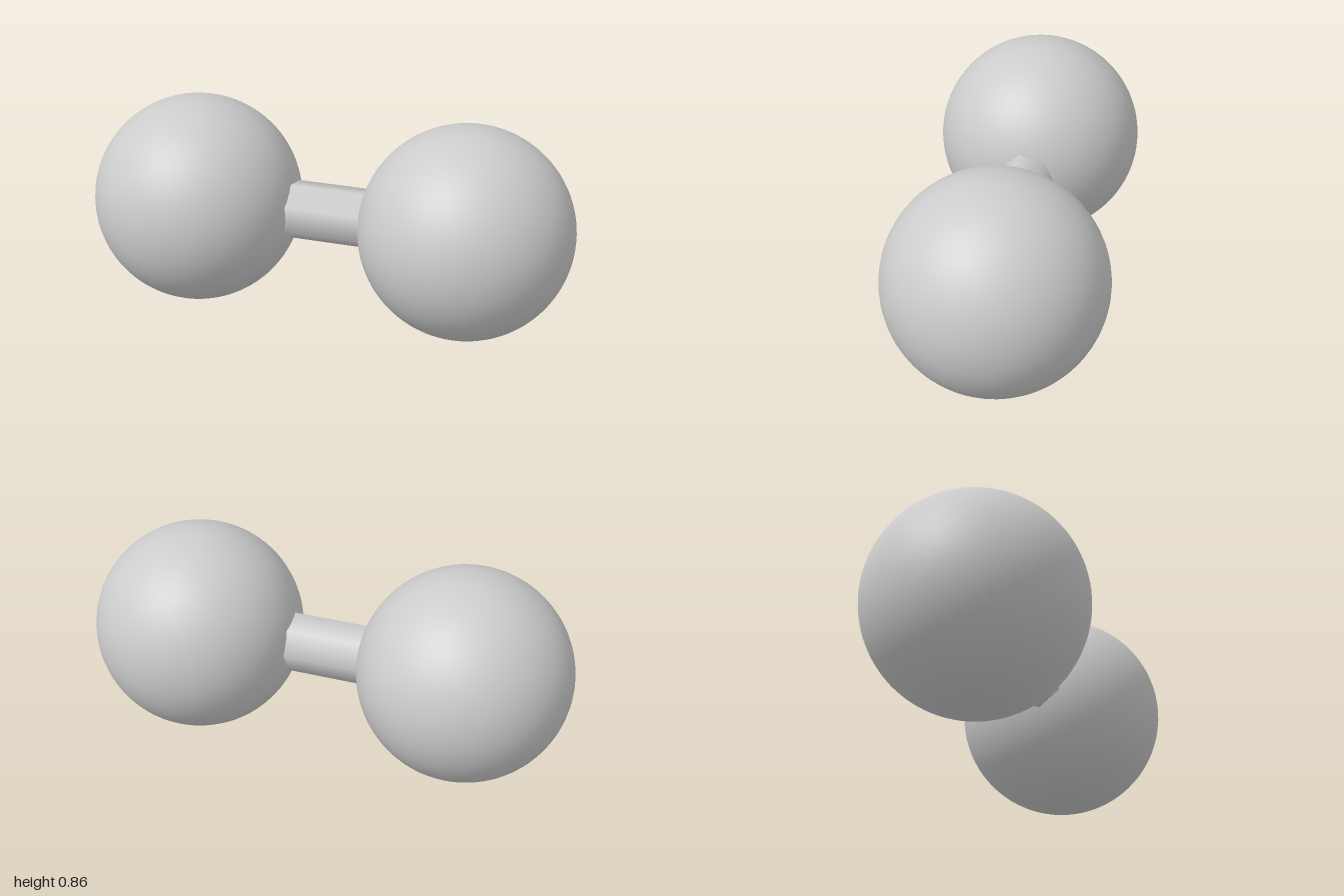
import * as THREE from 'three';

export function createModel() {
  const model = new THREE.Group();
  model.name = 'dumbbell';
  const grey = new THREE.MeshStandardMaterial({ color: 0xcccccc });
  const radius = 0.432;
  const offset = 1 - radius;

  // Round weights, one at each end
  const ball = new THREE.SphereGeometry(radius, 64, 40);
  for (const [name, side] of [['leftWeight', 1], ['rightWeight', -1]]) {
    const weight = new THREE.Mesh(ball, grey);
    weight.name = name;
    weight.position.set(side * offset, radius, 0);
    model.add(weight);
  }

  // Seven-sided smooth bar with one edge at the back, its ends buried in the weights
  const barGeometry = new THREE.CylinderGeometry(0.123, 0.123, 2 * offset, 7, 1, false, Math.PI);
  barGeometry.rotateZ(Math.PI / 2);
  const bar = new THREE.Mesh(barGeometry, grey);
  bar.name = 'bar';
  bar.position.y = radius;
  model.add(bar);

  return model;
}
